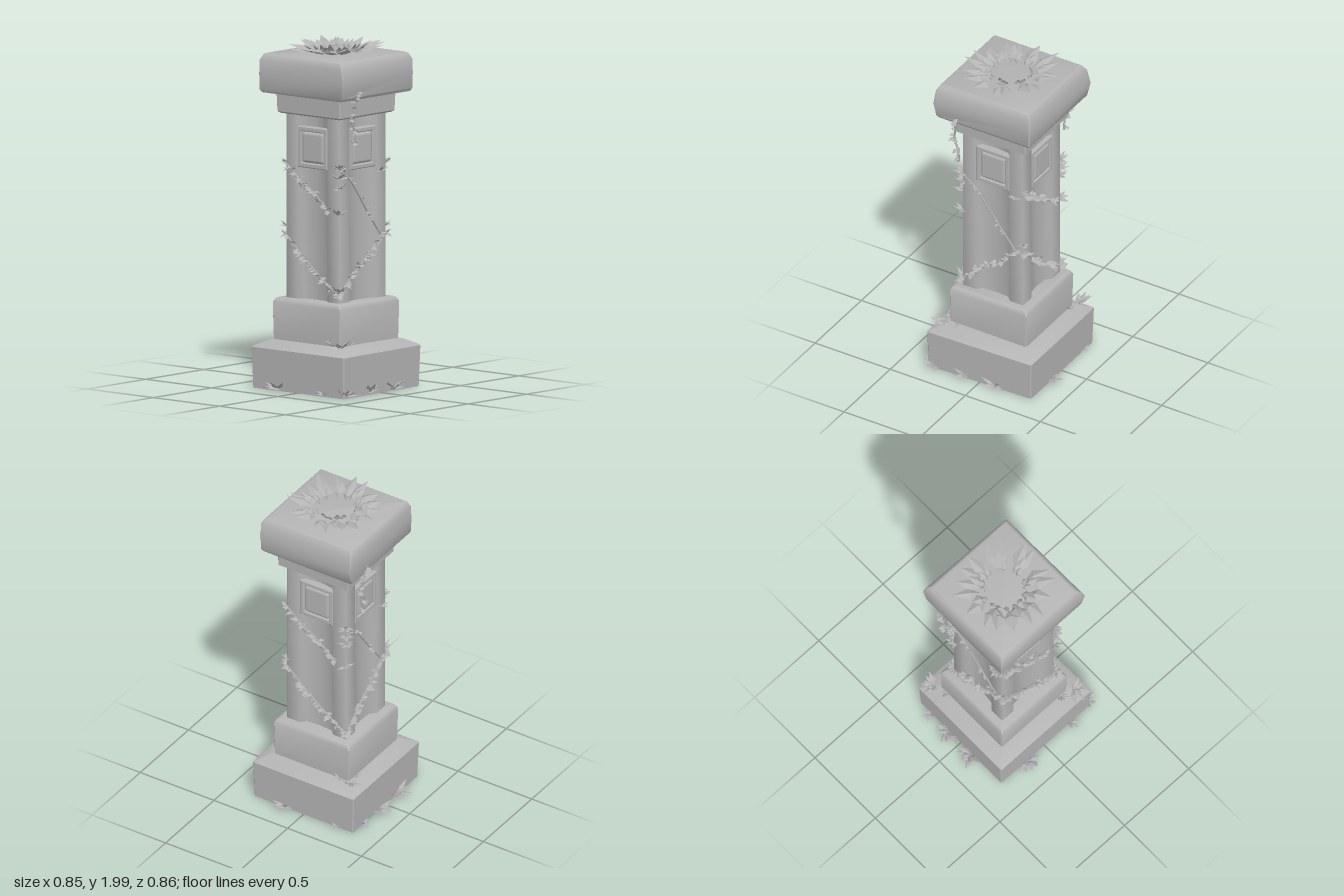
import * as THREE from 'three';
import { mergeGeometries, toCreasedNormals } from 'three/addons/utils/BufferGeometryUtils.js';
import { RoundedBoxGeometry } from 'three/addons/geometries/RoundedBoxGeometry.js';

const V = (x, y, z) => new THREE.Vector3(x, y, z);

export function createModel() {
  const model = new THREE.Group();
  const stone = new THREE.MeshStandardMaterial({ color: 0xb4b4b4, side: THREE.DoubleSide });
  stone.name = 'grey stone';

  let seed = 7;
  const rand = (a = 0, b = 1) => {
    seed = (seed * 16807) % 2147483647;
    return a + (b - a) * (seed / 2147483647);
  };
  const add = (name, geo, parent = model) => {
    const mesh = new THREE.Mesh(geo, stone);
    mesh.name = name;
    parent.add(mesh);
    return mesh;
  };

  // Square block lofted through [height, half width] rings, with chamfered corners
  function block(rings, c, bend) {
    const pos = [], idx = [];
    for (const [y, h] of rings) {
      const k = h - c;
      for (const [u, v] of [[h, -k], [h, k], [k, h], [-k, h], [-h, k], [-h, -k], [-k, -h], [k, -h]]) {
        const p = V(u, y, -v);
        if (bend) bend(p);
        pos.push(p.x, p.y, p.z);
      }
    }
    const last = (rings.length - 1) * 8;
    for (let r = 0; r < last; r += 8) {
      for (let i = 0; i < 8; i++) {
        const j = (i + 1) % 8;
        idx.push(r + i, r + j, r + 8 + j, r + i, r + 8 + j, r + 8 + i);
      }
    }
    for (let i = 1; i < 7; i++) idx.push(0, i + 1, i, last, last + i, last + i + 1);
    const geo = new THREE.BufferGeometry();
    geo.setAttribute('position', new THREE.Float32BufferAttribute(pos, 3));
    geo.setIndex(idx);
    return toCreasedNormals(geo, 0.6);
  }

  // Stepped base, with a slightly skewed front edge
  add('lowerPlinth', block([[0, 0.335], [0.235, 0.342], [0.245, 0.33], [0.275, 0.27], [0.28, 0.24]], 0.006,
    (p) => { if (p.z > 0) p.z += 0.01 - p.x * 0.03; }));
  add('upperPlinth', block([[0.26, 0.252], [0.49, 0.257], [0.512, 0.245], [0.518, 0.235]], 0.006));

  // Shaft with a softly hollowed channel on each face
  const side = [[-0.197, 0.202], [-0.113, 0.202], [-0.085, 0.172], [0, 0.165], [0.085, 0.172], [0.113, 0.202], [0.197, 0.202]];
  const outline = [];
  for (let s = 0; s < 4; s++) {
    for (const [x, y] of side) {
      outline.push(new THREE.Vector2(x, y).rotateAround(new THREE.Vector2(), -s * Math.PI / 2));
    }
  }
  const shaft = new THREE.ExtrudeGeometry(new THREE.Shape(outline), { depth: 1.09, bevelEnabled: false });
  shaft.rotateX(-Math.PI / 2).translate(0, 0.505, 0);
  add('shaft', toCreasedNormals(shaft, 0.9));

  // Neck and cap with two swollen corners
  add('neck', block([[1.575, 0.225], [1.585, 0.238], [1.7, 0.242]], 0.006));
  add('cap', block([[1.692, 0.24], [1.694, 0.3], [1.71, 0.309], [1.8, 0.311], [1.88, 0.309], [1.912, 0.293], [1.918, 0.283]], 0.005,
    (p) => {
      const swell = 0.025 * Math.max(0, 1 - Math.abs(p.y - 1.8) / 0.12);
      if (p.x > 0 && p.z < 0) p.add(V(swell, 0, -swell * 0.2));
      if (p.x < 0 && p.z > 0) p.add(V(-swell * 0.2, 0, swell));
    }));

  // Framed square panel near the top of each face
  const square = (w, h, Type) =>
    new Type([[-w, -h], [w, -h], [w, h], [-w, h]].map(([x, y]) => new THREE.Vector2(x, y)));
  const frameShape = square(0.107, 0.113, THREE.Shape);
  frameShape.holes.push(square(0.088, 0.095, THREE.Path));
  const frameGeo = new THREE.ExtrudeGeometry(frameShape,
    { depth: 0.04, bevelSize: 0.005, bevelThickness: 0.005, bevelSegments: 1 });
  const padGeo = new RoundedBoxGeometry(0.165, 0.18, 0.05, 2, 0.02);
  for (let s = 0; s < 4; s++) {
    const panel = new THREE.Group();
    panel.name = 'panel';
    panel.rotation.y = s * Math.PI / 2;
    add('panelFrame', frameGeo, panel).position.set(0, 1.391, 0.16);
    add('panelPad', padGeo, panel).position.set(0, 1.391, 0.18);
    model.add(panel);
  }

  // Folded, pointed leaf growing from base along dir
  function leaf(base, dir, length, width) {
    const p = [[0, 0, 0], [-width, 0, 0.4], [0, width * 0.5, 0.38], [width, 0, 0.42], [0, 0, 1]]
      .map(([x, y, z]) => [x, y, z * length]);
    const geo = new THREE.BufferGeometry();
    const corners = [0, 2, 1, 0, 3, 2, 1, 2, 4, 2, 3, 4];
    geo.setAttribute('position', new THREE.Float32BufferAttribute(corners.flatMap((i) => p[i]), 3));
    geo.computeVertexNormals();
    const up = Math.abs(dir.y) > 0.95 * dir.length() ? V(1, 0, 0) : V(0, 1, 0);
    geo.applyMatrix4(new THREE.Matrix4().lookAt(dir, V(0, 0, 0), up).setPosition(base));
    return geo;
  }

  // Wreath: long outer leaves, a middle row, and short upright inner leaves
  const wreath = [];
  const ringLeaf = (a, r, rise, len, wid) =>
    wreath.push(leaf(V(Math.cos(a) * r, 1.92, Math.sin(a) * r), V(Math.cos(a), rise, Math.sin(a)), len, wid));
  for (let i = 0; i < 17; i++) {
    const a = (i + rand(-0.3, 0.3)) / 17 * Math.PI * 2;
    ringLeaf(a, 0.13, rand(0.15, 0.42), rand(0.14, 0.185), rand(0.034, 0.044));
    if (i % 2) ringLeaf(a + 0.17, 0.12, rand(0.5, 0.8), rand(0.09, 0.115), rand(0.03, 0.036));
    ringLeaf(a + 0.1, 0.105, rand(0.9, 1.7), rand(0.06, 0.09), rand(0.018, 0.025));
  }
  add('leafWreath', mergeGeometries(wreath));

  // Tuft of leaves fanning out from a wall whose outward direction is (nx, nz)
  function tuft(name, x, y, z, nx, nz, size, count) {
    const leaves = [];
    for (let i = 0; i < count; i++) {
      const t = ((i + 0.5) / count - 0.5) * 2.7 + rand(-0.2, 0.2);
      const c = Math.cos(t), s = Math.sin(t);
      leaves.push(leaf(V(x, y, z), V(nx * c - nz * s, rand(0.05, 1), nz * c + nx * s),
        size * rand(0.75, 1.2), size * 0.22));
    }
    add(name, mergeGeometries(leaves));
  }
  const ground = [
    [-0.1, -0.34, 0, -1, 0.1], [0.09, -0.34, 0, -1, 0.09], [0.24, -0.34, 0, -1, 0.05],
    [-0.34, -0.14, -1, 0, 0.085], [-0.34, 0.2, -1, 0, 0.05], [0.34, 0.12, 1, 0, 0.085], [0.335, -0.23, 1, 0, 0.04],
    [-0.31, 0.34, -0.3, 0.9, 0.08], [-0.1, 0.34, 0, 1, 0.085], [0.1, 0.34, 0, 1, 0.085],
  ];
  for (const [x, z, nx, nz, size] of ground) tuft('groundTuft', x, 0.008, z, nx, nz, size, 7);
  for (const s of [1, -1]) {
    tuft('ledgeTuft', s * 0.275, 0.275, -s * 0.275, s * 0.7, -s * 0.7, 0.085, 8);
    tuft('ledgeTuft', s * 0.2, 0.28, -s * 0.26, 0, -s, 0.05, 5);
    tuft('ledgeTuft', s * 0.26, 0.28, -s * 0.2, s, 0, 0.05, 5);
  }

  // Leafy vine along a path; repeated half a turn round the pillar
  function vine(name, points, count, size) {
    const curve = new THREE.CatmullRomCurve3(points.map((p) => V(...p)), false, 'catmullrom', 0.1);
    const parts = [new THREE.TubeGeometry(curve, 24, 0.006, 5).toNonIndexed()];
    parts[0].deleteAttribute('uv');
    for (let i = 0; i < count; i++) {
      const p = curve.getPoint((i + rand(0, 0.8)) / count);
      const dir = V(p.x * 2 + rand(-0.7, 0.7), rand(-0.8, 0.8), p.z * 2 + rand(-0.7, 0.7));
      parts.push(leaf(p, dir, size * rand(0.7, 1.2), size * 0.42));
    }
    const geo = mergeGeometries(parts);
    add(name, geo);
    add(name, geo).rotation.y = Math.PI;
  }
  const d = 0.204;
  vine('upperFrontVine', [[-0.2, 1.28, d], [-0.1, 1.21, d], [0.04, 1.02, d], [0.15, 0.88, d]], 14, 0.028);
  vine('lowerFrontVine', [[0.16, 0.88, d], [0.03, 0.76, d], [-0.1, 0.66, d], [-0.21, 0.56, d]], 40, 0.042);
  vine('upperSideVine', [[d, 1.29, 0.2], [d, 1.2, 0.09], [d, 1.13, -0.02], [d, 1.04, -0.12]], 40, 0.042);
  vine('lowerSideVine', [[d, 0.88, 0.2], [d, 0.77, 0.08], [d, 0.64, -0.08], [d, 0.55, -0.21]], 40, 0.042);
  vine('hangingVine', [[-0.16, 1.74, 0.318], [-0.18, 1.68, 0.312], [-0.2, 1.58, 0.292], [-0.17, 1.5, 0.298], [-0.17, 1.43, 0.29]], 20, 0.04);

  // Leaf bunches where vines meet the shaft corners
  for (const s of [1, -1]) {
    for (const y of [1.28, 1.23, 1.17, 0.57]) {
      tuft('cornerLeaves', -s * 0.195, y, s * 0.195, -s * 0.7, s * 0.7, 0.06, 7);
    }
    tuft('cornerLeaves', s * 0.15, 1.24, s * 0.2, 0, s, 0.05, 6);
    tuft('cornerLeaves', -s * 0.2, 1.02, s * 0.19, -s * 0.5, s * 0.8, 0.07, 4);
    for (const y of [0.92, 0.87]) tuft('cornerLeaves', s * 0.195, y, s * 0.195, s * 0.7, s * 0.7, 0.05, 6);
  }
  return model;
}
